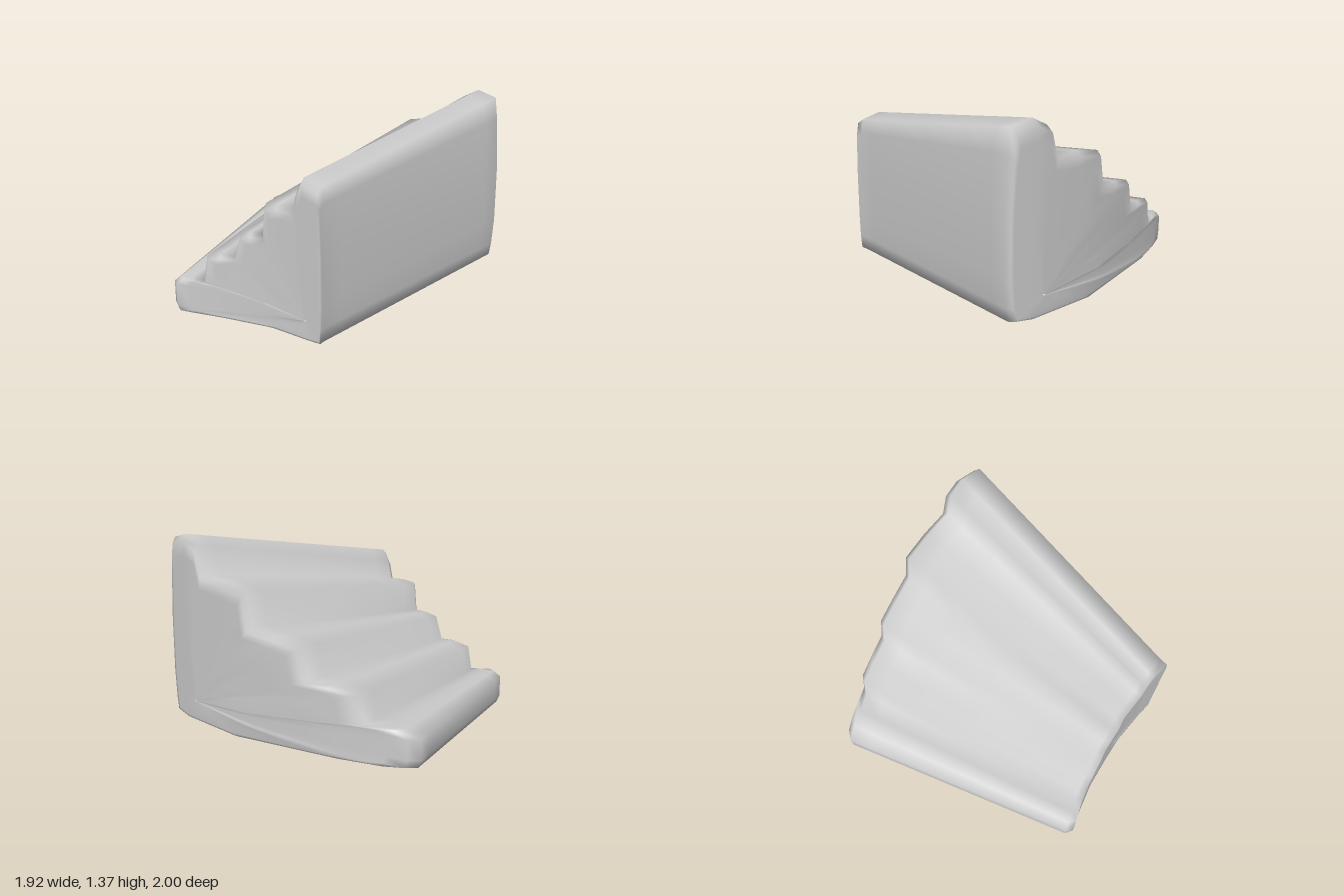
import * as THREE from 'three';

// Matching stair outlines, clockwise from the bottom left: [front x, front y, back x, back y]
const OUTLINE = [
  [-0.94, 0.01, -0.94, 0.12],
  [-0.96, 0.06, -0.96, 0.17],
  [-0.96, 0.21, -0.96, 0.30],
  [-0.91, 0.25, -0.86, 0.35], // first tread
  [-0.83, 0.245, -0.74, 0.35],
  [-0.74, 0.24, -0.62, 0.35],
  [-0.71, 0.42, -0.58, 0.53], // second tread
  [-0.60, 0.45, -0.42, 0.56],
  [-0.49, 0.45, -0.25, 0.57],
  [-0.44, 0.62, -0.20, 0.77], // third tread
  [-0.36, 0.645, -0.02, 0.81],
  [-0.26, 0.65, 0.18, 0.84],
  [-0.24, 0.86, 0.22, 1.07], // fourth tread
  [-0.14, 0.875, 0.42, 1.11],
  [-0.02, 0.87, 0.62, 1.13],
  [0.01, 1.00, 0.67, 1.31], // top ledge
  [0.06, 1.085, 0.78, 1.37],
  [0.19, 1.05, 0.92, 1.335],
  [0.205, 0.95, 0.94, 1.18], // tall side wall
  [0.215, 0.65, 0.96, 0.82],
  [0.215, 0.30, 0.96, 0.42],
  [0.21, 0.14, 0.945, 0.22],
  [0.20, 0.04, 0.93, 0.13],
  [0.10, 0.03, 0.80, 0.11], // underside
  [-0.20, 0.025, 0.30, 0.10],
  [-0.60, 0.005, -0.50, 0.11],
  [-0.85, 0.005, -0.80, 0.11],
];

// Curved end faces: z as a function of x
const FRONT_Z = [[-0.96, 0.81], [-0.7, 0.79], [-0.4, 0.82], [-0.2, 0.86], [0, 0.92], [0.2, 1]];
const BACK_Z = [[-0.96, -0.97], [-0.58, -1], [-0.2, -0.99], [0.2, -0.95], [0.45, -0.88], [0.75, -0.78], [0.96, -0.68]];

function lookup(table, x) {
  for (let i = 1; i < table.length; i++) {
    const [x0, z0] = table[i - 1], [x1, z1] = table[i];
    if (x <= x1) return z0 + (z1 - z0) * (Math.max(x, x0) - x0) / (x1 - x0);
  }
  return table[table.length - 1][1];
}

// End face ring: the outline shrunk towards an inner point
function capRing(scale, column, centre, table) {
  return OUTLINE.map((p) => {
    const x = centre[0] + (p[column] - centre[0]) * scale;
    const y = centre[1] + (p[column + 1] - centre[1]) * scale;
    return [x, y, lookup(table, x)];
  });
}

// Ring between the back (t = 0) and the front (t = 1)
function bodyRing(t) {
  return OUTLINE.map(([fx, fy, bx, by]) => [
    THREE.MathUtils.lerp(bx, fx, t),
    THREE.MathUtils.lerp(by, fy, t),
    THREE.MathUtils.lerp(lookup(BACK_Z, bx) + 0.04, lookup(FRONT_Z, fx) - 0.05, t),
  ]);
}

// Smooth surface through the rings
function loft(rings) {
  const n = OUTLINE.length;
  const index = [];
  for (let k = 0; k < rings.length - 1; k++) {
    for (let i = 0; i < n; i++) {
      const j = (i + 1) % n;
      const a = k * n + i, b = k * n + j, c = a + n, d = b + n;
      index.push(a, c, b, b, c, d);
    }
  }
  const geometry = new THREE.BufferGeometry();
  geometry.setAttribute('position', new THREE.Float32BufferAttribute(rings.flat(2), 3));
  geometry.setIndex(index);
  geometry.computeVertexNormals();
  return geometry;
}

export function createModel() {
  const shrink = [0.01, 0.35, 0.7, 0.88, 0.96];
  const back = shrink.map((s) => capRing(s, 2, [0.72, 0.25], BACK_Z));
  const front = shrink.map((s) => capRing(s, 0, [0.08, 0.16], FRONT_Z)).reverse();
  const body = [0, 0.08, 0.25, 0.5, 0.75, 0.92, 1].map(bodyRing);

  const stairs = new THREE.Mesh(
    loft([...back, ...body, ...front]),
    new THREE.MeshStandardMaterial({ color: 0xcccccc }),
  );
  stairs.name = 'wedgeStaircase';

  const model = new THREE.Group();
  model.name = 'curvedStairBlock';
  model.add(stairs);
  return model;
}
